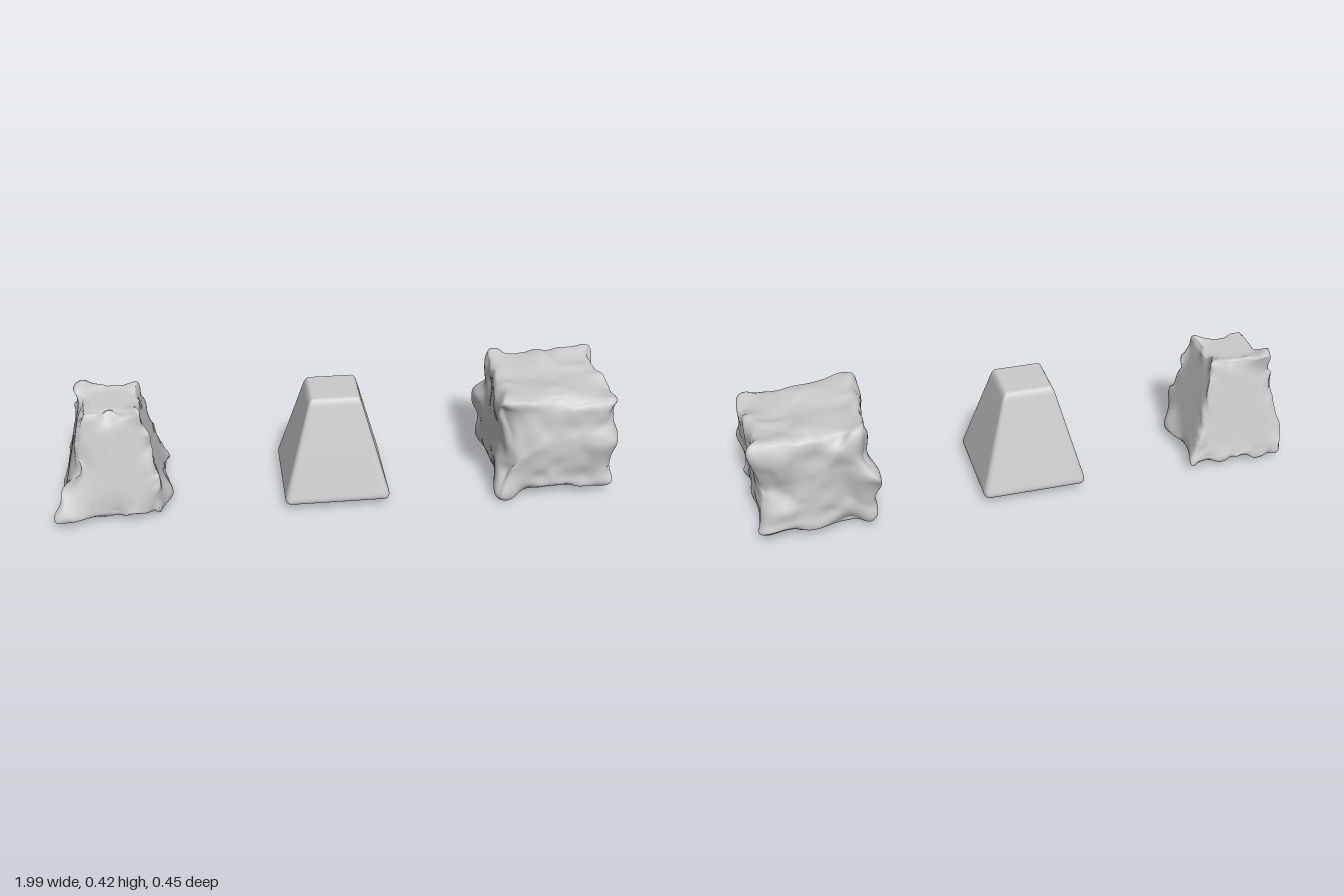
import * as THREE from 'three';
import { mergeVertices } from 'three/addons/utils/BufferGeometryUtils.js';

const BASE = 0.035, HEIGHT = 0.37;

// Repeatable lattice value in -1..1
function hash(x, y, z, seed) {
  const s = Math.sin(x * 127.1 + y * 311.7 + z * 74.7 + seed * 53.3) * 43758.5453;
  return (s - Math.floor(s)) * 2 - 1;
}

// Smooth value noise
function noise(p, seed) {
  const c = [p.x, p.y, p.z].map(Math.floor);
  const f = [p.x - c[0], p.y - c[1], p.z - c[2]].map(t => t * t * (3 - 2 * t));
  let sum = 0;
  for (let i = 0; i < 8; i++) {
    const b = [i & 1, (i >> 1) & 1, i >> 2];
    const w = b.reduce((a, on, k) => a * (on ? f[k] : 1 - f[k]), 1);
    sum += w * hash(c[0] + b[0], c[1] + b[1], c[2] + b[2], seed);
  }
  return sum;
}

// Rounded block centred on x = z = 0; the top is narrowed to the given ratio
function blockGeometry(size, radius, topRatio, deform) {
  const n = 44;
  const box = new THREE.BoxGeometry(size, HEIGHT, size, n, n, n);
  box.deleteAttribute('uv');
  box.deleteAttribute('normal');
  const geo = mergeVertices(box);
  const pos = geo.attributes.position;
  const inner = new THREE.Vector3(size / 2 - radius, HEIGHT / 2 - radius, size / 2 - radius);
  const low = inner.clone().negate();
  const p = new THREE.Vector3(), q = new THREE.Vector3(), unit = new THREE.Vector3();
  for (let i = 0; i < pos.count; i++) {
    p.fromBufferAttribute(pos, i);
    unit.set(2 * p.x / size, 2 * p.y / HEIGHT, 2 * p.z / size);
    q.copy(p).clamp(low, inner);
    p.sub(q).setLength(radius).add(q);
    const taper = THREE.MathUtils.lerp(1, topRatio, p.y / HEIGHT + 0.5);
    p.set(p.x * taper, p.y + HEIGHT / 2 + BASE, p.z * taper);
    if (deform) deform(p, unit);
    pos.setXYZ(i, p.x, p.y, p.z);
  }
  geo.computeVertexNormals();
  return geo;
}

// Weathering: noise that grows toward the edges, plus hand-placed pushes
// Each push is [position, offset, reach]
function weather({ face, edge, sharpness, frequency, seed, pushes }) {
  return (p, unit) => {
    const a = [unit.x, unit.y, unit.z].map(Math.abs).sort((m, n) => n - m);
    const amount = face + edge * Math.pow(a[1], sharpness);
    const at = p.clone().multiplyScalar(frequency);
    const fine = p.clone().multiplyScalar(frequency * 2.3);
    const d = new THREE.Vector3(...[0, 1, 2].map(k =>
      amount * (noise(at, seed + k) + 0.3 * noise(fine, seed + k + 7))));
    for (const [centre, offset, reach] of pushes) {
      const w = Math.exp(-p.distanceToSquared(new THREE.Vector3(...centre)) / (reach * reach));
      d.addScaledVector(new THREE.Vector3(...offset), w);
    }
    p.add(d);
  };
}

export function createModel() {
  const group = new THREE.Group();
  const material = new THREE.MeshStandardMaterial({ color: 0xcccccc });
  const add = (name, geo, x, z = 0) => {
    const mesh = new THREE.Mesh(geo, material);
    mesh.name = name;
    mesh.position.set(x, 0, z);
    group.add(mesh);
  };

  // Smooth tapered block in the middle
  add('smoothTaperedBlock', blockGeometry(0.382, 0.025, 0.46), -0.004, -0.002);

  // Eroded tapered block: flat faces with ragged edges
  const tapered = blockGeometry(0.37, 0.02, 0.53, weather({
    face: 0, edge: 0.024, sharpness: 7, frequency: 15, seed: 3,
    pushes: [
      [[-0.18, 0.05, 0.18], [-0.035, 0, 0.025], 0.06],
      [[0.18, 0.05, 0.18], [-0.015, 0, -0.02], 0.06],
      [[0.18, 0.05, -0.18], [0.015, 0, -0.01], 0.06],
      [[-0.18, 0.05, -0.18], [0.015, -0.005, -0.01], 0.06],
      [[0.18, 0.06, 0.07], [0.025, 0, 0], 0.05],
      [[-0.14, 0.22, 0.14], [0.018, 0, -0.012], 0.07],
      [[0, 0.035, 0.185], [0, -0.015, -0.015], 0.06],
      [[-0.09, 0.4, -0.09], [-0.005, 0.02, -0.01], 0.03],
      [[0.09, 0.4, -0.09], [0.01, 0.02, -0.005], 0.03],
      [[0.09, 0.4, 0.09], [0.01, 0.015, 0.005], 0.03],
      [[0, 0.4, 0.1], [0, 0, -0.02], 0.03],
      [[-0.1, 0.4, 0], [0.02, 0, 0], 0.03],
    ],
  }));
  add('erodedTaperedBlock', tapered, -0.782);

  // Eroded cube: wavy faces and lumpy corners
  const cube = blockGeometry(0.4, 0.045, 1, weather({
    face: 0.014, edge: 0.02, sharpness: 3, frequency: 9, seed: 12,
    pushes: [
      [[-0.19, 0.05, 0.19], [-0.035, -0.025, 0.03], 0.06],
      [[0.19, 0.05, 0.19], [0.025, 0, 0.01], 0.06],
      [[0.19, 0.05, -0.19], [0.015, -0.01, -0.015], 0.06],
      [[-0.19, 0.05, -0.19], [-0.01, -0.01, -0.01], 0.06],
      [[-0.19, 0.39, 0.19], [-0.01, 0.012, 0.01], 0.06],
      [[0.19, 0.39, 0.19], [0.01, 0.012, 0.01], 0.06],
      [[-0.19, 0.39, -0.19], [-0.015, 0.025, -0.015], 0.06],
      [[0.19, 0.39, -0.19], [0.02, 0.02, -0.015], 0.06],
      [[-0.19, 0.23, -0.19], [-0.03, 0, -0.03], 0.06],
      [[0.19, 0.22, 0.19], [0.015, 0, 0.01], 0.05],
      [[0.19, 0.22, -0.19], [-0.015, 0, 0.01], 0.07],
      [[-0.19, 0.23, 0.19], [0.012, 0, -0.01], 0.07],
    ],
  }));
  add('erodedCube', cube, 0.768);

  return group;
}
